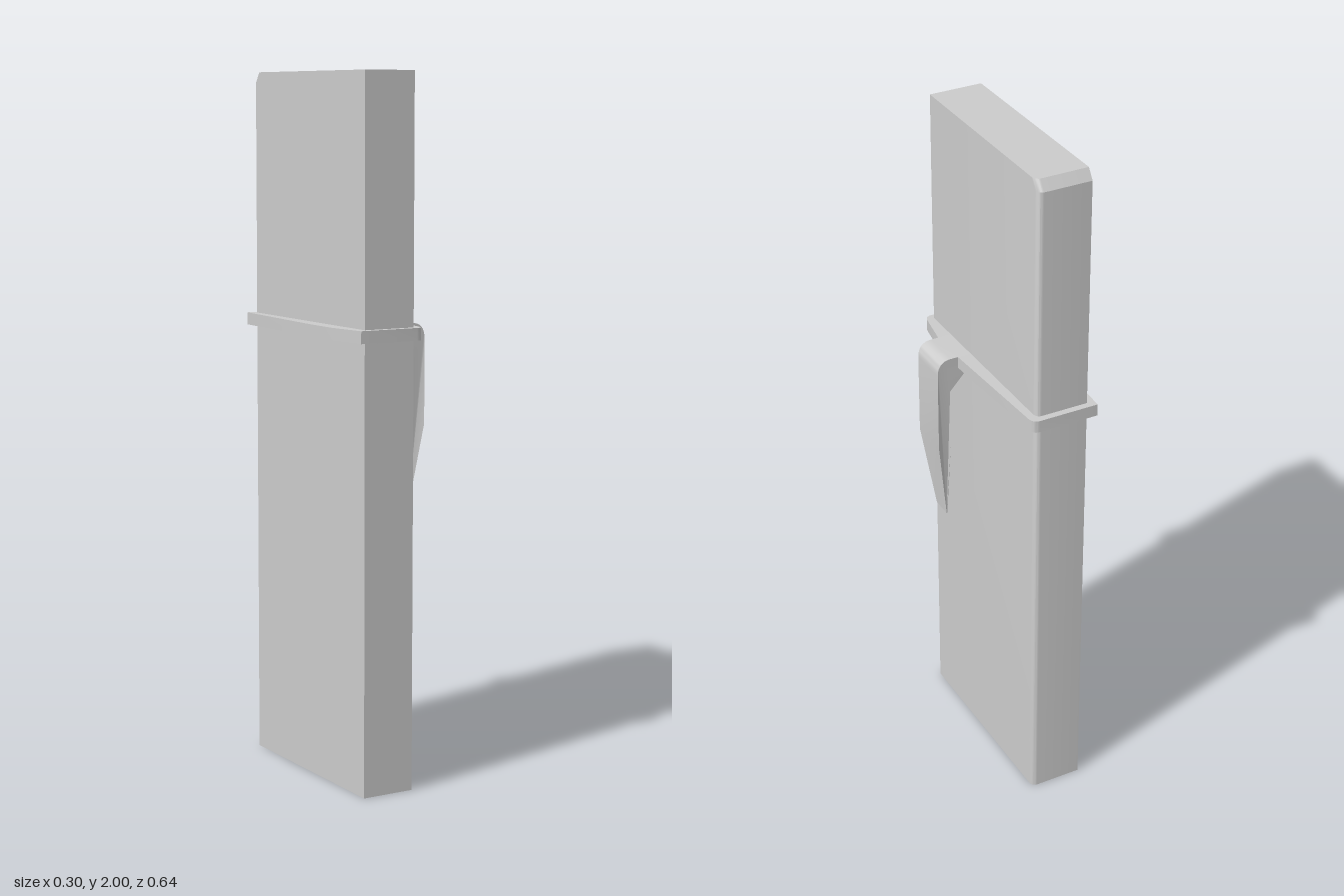
import * as THREE from 'three';
import { toCreasedNormals } from 'three/addons/utils/BufferGeometryUtils.js';
import { ConvexGeometry } from 'three/addons/geometries/ConvexGeometry.js';

const material = new THREE.MeshStandardMaterial({ color: 0xcccccc });

function addPart(group, name, geometry) {
  const mesh = new THREE.Mesh(toCreasedNormals(geometry, 0.5), material);
  mesh.name = name;
  group.add(mesh);
}

// Slab with one rounded vertical corner and a bevelled top back edge
function bodyGeometry() {
  const outline = [[-0.11, 0.303], [0.046, 0.303]];
  for (let i = 0; i <= 5; i++) {
    const a = (i / 5) * Math.PI / 2;
    outline.push([0.03 + 0.016 * Math.cos(a), -0.285 - 0.019 * Math.sin(a)]);
  }
  outline.push([-0.11, -0.304]);
  const points = [];
  for (const [x, z] of outline) {
    points.push(new THREE.Vector3(x, 0, z));
    points.push(new THREE.Vector3(x, z < 0 ? 1.97 : 2, z));
    if (z < 0) points.push(new THREE.Vector3(x, 2, z + 0.02));
  }
  return new ConvexGeometry(points);
}

// Tapered plate around the slab, drawn in (x, -z)
function collarGeometry() {
  const s = new THREE.Shape();
  s.moveTo(-0.132, -0.321);
  s.lineTo(0.046, -0.321);
  s.quadraticCurveTo(0.065, -0.321, 0.069, -0.3);
  s.lineTo(0.086, -0.197);
  s.lineTo(0.086, -0.075);
  s.lineTo(0.068, 0.3);
  s.quadraticCurveTo(0.066, 0.324, 0.046, 0.324);
  s.lineTo(-0.132, 0.324);
  s.lineTo(-0.152, -0.075);
  s.lineTo(-0.152, -0.197);
  const g = new THREE.ExtrudeGeometry(s, { depth: 0.035, bevelEnabled: false, curveSegments: 6 });
  return g.rotateX(-Math.PI / 2).translate(0, 1.271, 0);
}

const CLIP_Z = 0.136, CLIP_WIDTH = 0.122;

// Hooked clip whose lower end narrows to half width
function clipGeometry() {
  const s = new THREE.Shape();
  s.moveTo(0.04, 1.306);
  s.lineTo(0.04, 1.275);
  s.lineTo(0.048, 1.27);
  s.lineTo(0.112, 1.2);
  s.lineTo(0.112, 1.02);
  s.lineTo(0.112, 0.768);
  s.lineTo(0.114, 0.768);
  s.lineTo(0.15, 1.02);
  s.lineTo(0.15, 1.26);
  s.quadraticCurveTo(0.15, 1.306, 0.108, 1.306);
  const g = new THREE.ExtrudeGeometry(s, { depth: CLIP_WIDTH, bevelEnabled: false, curveSegments: 8 });
  g.translate(0, 0, -CLIP_WIDTH / 2);
  const p = g.attributes.position;
  for (let i = 0; i < p.count; i++) if (p.getY(i) < 0.9) p.setZ(i, p.getZ(i) * 0.52);
  return g.translate(0, 0, CLIP_Z);
}

// Ridged brace under the hook
function braceGeometry() {
  const points = [new THREE.Vector3(0.045, 1.205, CLIP_Z)];
  for (const side of [-1, 1]) {
    const z = CLIP_Z + side * CLIP_WIDTH / 2;
    points.push(new THREE.Vector3(0.045, 1.272, z), new THREE.Vector3(0.113, 1.2, z), new THREE.Vector3(0.113, 1.272, z));
  }
  return new ConvexGeometry(points);
}

export function createModel() {
  const group = new THREE.Group();
  group.name = 'clippedCase';
  addPart(group, 'body', bodyGeometry());
  addPart(group, 'collar', collarGeometry());
  addPart(group, 'clip', clipGeometry());
  addPart(group, 'clipBrace', braceGeometry());
  return group;
}
